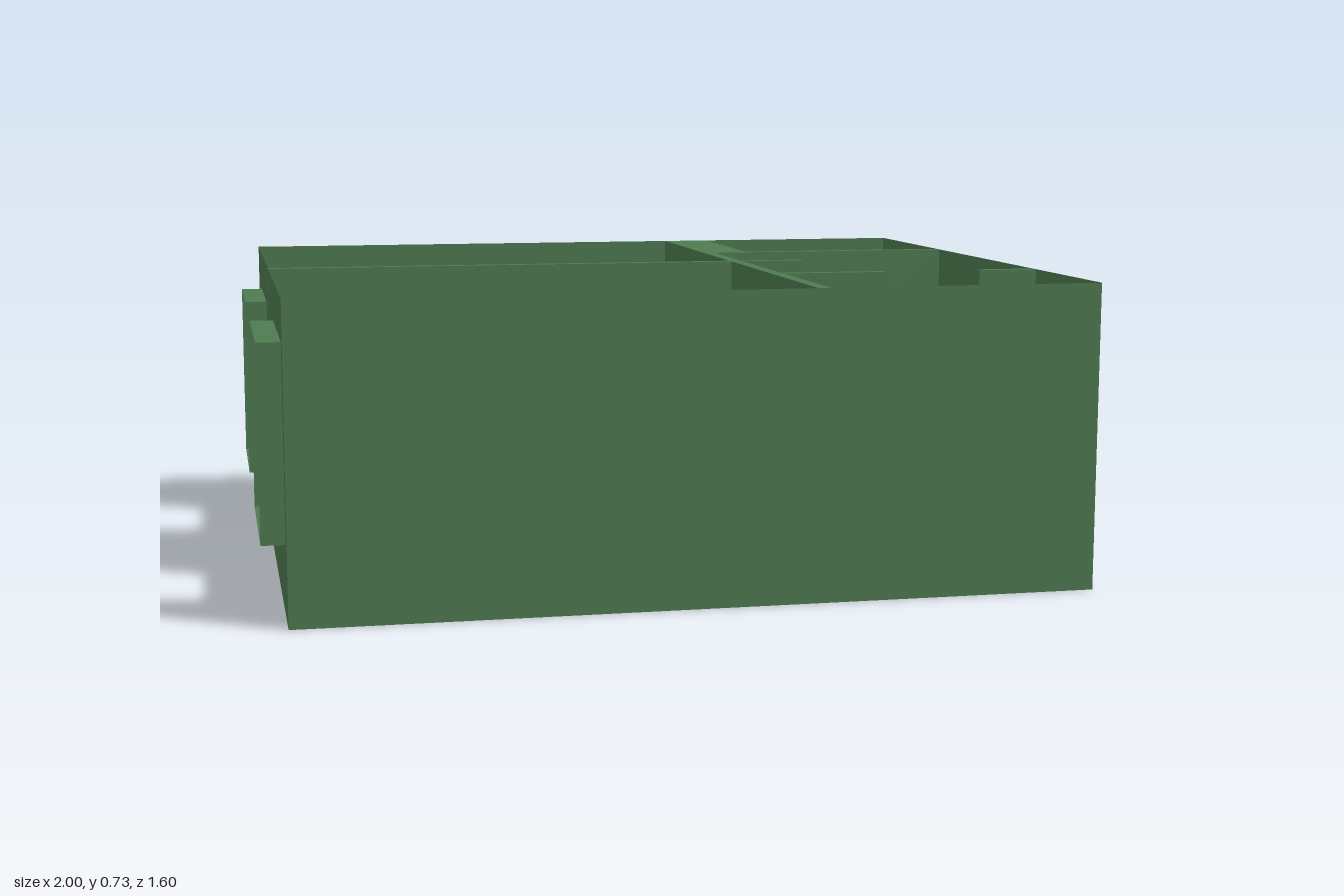
import * as THREE from 'three';

const H = 0.73; // wall height
const material = new THREE.MeshStandardMaterial({ color: 0x4f7c51, side: THREE.DoubleSide });

// Openings as boxes: x0, x1, y0, y1, z0, z1, and the axis they run along
const openings = [
  ['entranceDoorFrame', 0.94, 1.0, 0.01, 0.53, -0.18, 0.07, 'x'],
  ['backWindowFrame', -1.0, -0.945, 0.18, 0.63, -0.56, -0.18, 'x'],
  ['frontWindowFrame', -1.0, -0.945, 0.18, 0.63, 0.29, 0.75, 'x'],
  ['hallDoorFrame', 0.255, 0.285, 0.01, 0.53, -0.27, -0.025, 'x'],
  ['frontRoomDoorFrame', -0.15, 0.08, 0.01, 0.53, -0.02, 0.005, 'z'],
  ['bathroomDoorFrame', 0.54, 0.71, 0.01, 0.53, -0.325, -0.3, 'z'],
].map(([name, x0, x1, y0, y1, z0, z1, axis]) => ({ name, x0, x1, y0, y1, z0, z1, axis }));

// Room outlines in plan (x, z)
const rect = (x0, x1, z0, z1) => [[x0, z0], [x1, z0], [x1, z1], [x0, z1]];
const rooms = {
  backRoom: rect(-0.945, 0.255, -0.8, -0.02),
  frontRoom: rect(-0.945, 0.255, 0.005, 0.8),
  bathroom: rect(0.38, 0.94, -0.8, -0.325),
  hall: [
    [0.285, -0.3], [0.94, -0.3], [0.94, 0.38], [0.79, 0.38], [0.79, 0.405], [0.94, 0.405],
    [0.94, 0.8], [0.285, 0.8], [0.285, 0.405], [0.545, 0.405], [0.545, 0.38], [0.285, 0.38],
    [0.285, 0.005], [0.455, 0.005], [0.455, -0.02], [0.285, -0.02],
  ],
};

// Tops of the inner walls
const wallTops = [
  [-0.945, 0.255, -0.02, 0.005], [0.285, 0.455, -0.02, 0.005],
  [0.255, 0.285, -0.3, 0.8], [0.255, 0.38, -0.8, -0.3], [0.38, 0.94, -0.325, -0.3],
  [0.285, 0.545, 0.38, 0.405], [0.79, 0.94, 0.38, 0.405],
];

// Outer wall strips closing the ends of the inner walls
const outerStrips = [
  [[0.255, 0.8], [0.285, 0.8]], [[0.255, -0.8], [0.38, -0.8]],
  [[0.94, -0.325], [0.94, -0.3]], [[0.94, 0.38], [0.94, 0.405]],
];

const v = (x, y, z) => new THREE.Vector3(x, y, z);
const shapeOf = (pts) => new THREE.Shape(pts.map(([a, b]) => new THREE.Vector2(a, b)));

function mesh(name, geometry) {
  const m = new THREE.Mesh(geometry, material);
  m.name = name;
  return m;
}

// Flat horizontal sheet at height y
function sheet(name, pts, y) {
  const basis = new THREE.Matrix4().makeBasis(v(1, 0, 0), v(0, 0, 1), v(0, -1, 0)).setPosition(0, y, 0);
  return mesh(name, new THREE.ShapeGeometry(shapeOf(pts)).applyMatrix4(basis));
}

// Upright wall sheet between two plan points, pierced by the openings that cross it
function wall(name, [ax, az], [bx, bz]) {
  const alongZ = ax === bx;
  const [s, e] = (alongZ ? [az, bz] : [ax, bx]).sort((p, q) => p - q);
  const shape = shapeOf(rect(s, e, 0, H));
  for (const o of openings) {
    if ((o.axis === 'x') !== alongZ) continue;
    const [d0, d1, u0, u1] = alongZ ? [o.x0, o.x1, o.z0, o.z1] : [o.z0, o.z1, o.x0, o.x1];
    const at = alongZ ? ax : az;
    if (at >= d0 && at <= d1 && u0 >= s && u1 <= e) {
      shape.holes.push(new THREE.Path(rect(u0, u1, o.y0, o.y1).map((p) => new THREE.Vector2(...p))));
    }
  }
  const basis = alongZ
    ? new THREE.Matrix4().makeBasis(v(0, 0, 1), v(0, 1, 0), v(-1, 0, 0)).setPosition(ax, 0, 0)
    : new THREE.Matrix4().makeTranslation(0, 0, az);
  return mesh(name, new THREE.ShapeGeometry(shape).applyMatrix4(basis));
}

// Four-sided sleeve lining an opening, open at both ends
function sleeve({ name, x0, x1, y0, y1, z0, z1, axis }) {
  const g = new THREE.BoxGeometry(x1 - x0, y1 - y0, z1 - z0);
  const index = Array.from(g.index.array);
  g.setIndex(axis === 'x' ? index.slice(12) : index.slice(0, 24));
  g.clearGroups();
  g.translate((x0 + x1) / 2, (y0 + y1) / 2, (z0 + z1) / 2);
  return mesh(name, g);
}

export function createModel() {
  const house = new THREE.Group();
  house.name = 'house';

  // Rooms: a floor and a wall on every side
  for (const [name, pts] of Object.entries(rooms)) {
    const room = new THREE.Group();
    room.name = name;
    room.add(sheet('floor', pts, 0));
    pts.forEach((p, i) => room.add(wall('wall', p, pts[(i + 1) % pts.length])));
    house.add(room);
  }

  wallTops.forEach((r) => house.add(sheet('wallTop', rect(...r), H)));
  outerStrips.forEach(([a, b]) => house.add(wall('outerWallStrip', a, b)));

  // Door and window frames
  openings.forEach((o) => house.add(sleeve(o)));
  return house;
}
